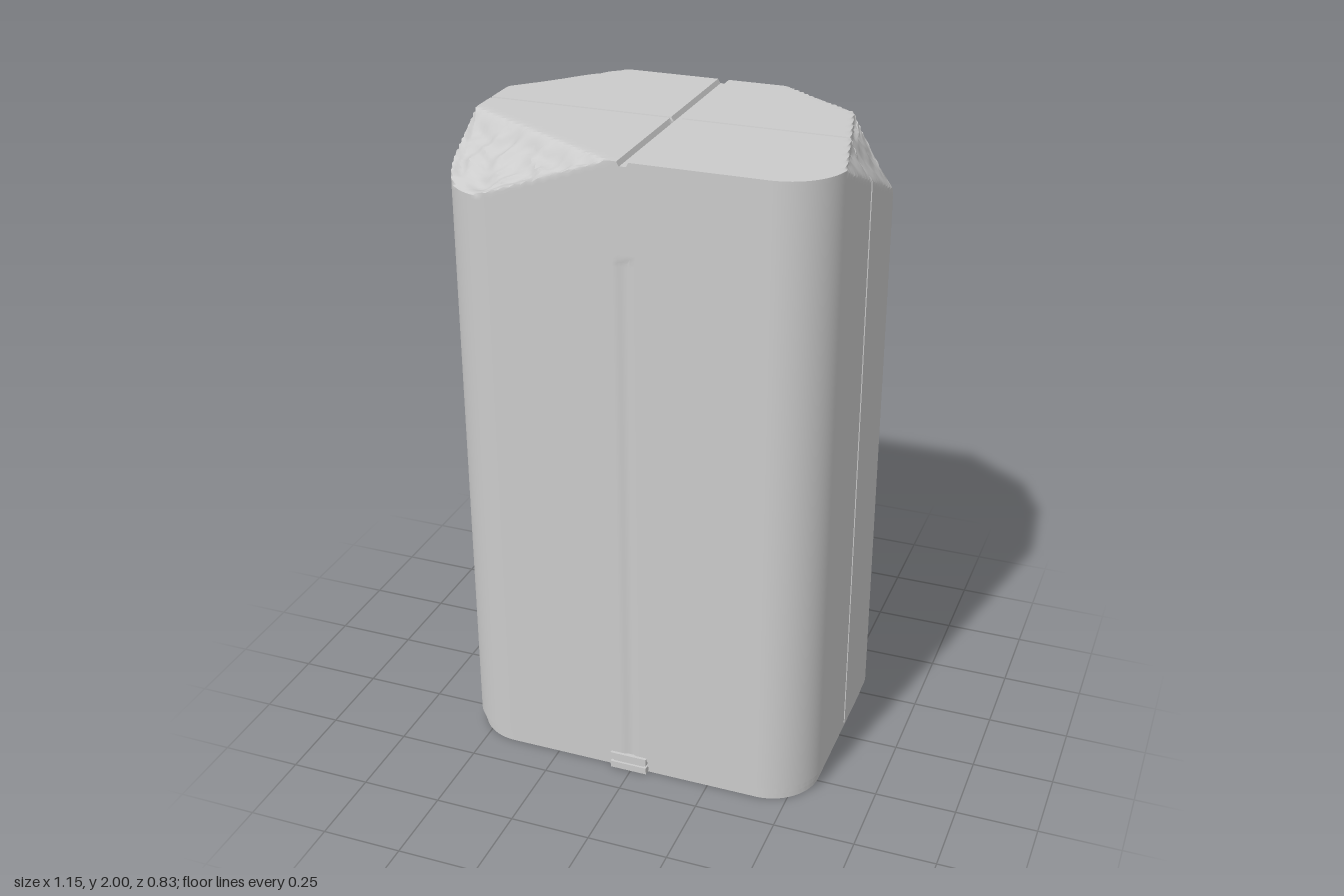
import * as THREE from 'three';
import { toCreasedNormals } from 'three/addons/utils/BufferGeometryUtils.js';

const HX = 0.576, HZ = 0.406, R = 0.17, BOTTOM = 0.053, TOP = 2;
const V = (x, y, z) => new THREE.Vector3(x, y, z);

// Evenly spaced grid lines between a and b, excluding b
const span = (a, b, n) => Array.from({ length: n }, (_, i) => a + (b - a) * i / n);

// Symmetric grid lines with a narrow seam in the middle
function seamLines(half, seam, n) {
  const side = [seam * 0.6, ...span(seam, half - R, n), ...span(half - R, half, 12), half];
  return [...side.map(v => -v).reverse(), ...side];
}

// Square corner region bent to a quarter disc
function roundCorner(p) {
  const ix = HX - R, iz = HZ - R;
  const u = (Math.abs(p.x) - ix) / R, v = (Math.abs(p.z) - iz) / R;
  if (u <= 0 || v <= 0) return;
  p.x = Math.sign(p.x) * (ix + R * u * Math.sqrt(1 - v * v / 2));
  p.z = Math.sign(p.z) * (iz + R * v * Math.sqrt(1 - u * u / 2));
}

// Broken stone relief, 0 to 1
function rough(p) {
  const a = Math.sin(p.x * 23 + p.y * 17 + Math.sin(p.z * 21) * 1.4);
  const b = Math.sin(p.z * 37 - p.y * 29 + Math.sin(p.x * 31) * 1.6);
  const c = Math.sin(p.x * 61 + p.z * 53 + p.y * 47);
  return Math.min(1, Math.abs(a) * 0.5 + Math.abs(b) * 0.35 + (c + 1) * 0.075);
}

// A break plane through three points, facing away from the core
function chip(a, b, c, amp) {
  const plane = new THREE.Plane().setFromCoplanarPoints(a, b, c);
  if (plane.distanceToPoint(V(0, 1, 0)) > 0) plane.negate();
  return { plane, amp };
}

const chips = [
  // front, right-hand corner: shallow slope
  chip(V(-0.05, 2, 0.405), V(-0.58, 2, 0.1), V(-0.53, 1.85, 0.36), 0.022),
  // back, left-hand corner: deep break
  chip(V(0.2, 2, -0.41), V(0.5, 2, -0.2), V(0.53, 1.62, -0.36), 0.035),
  // left top edge
  chip(V(0.44, 2, -0.3), V(0.57, 2, 0.25), V(0.577, 1.8, -0.2), 0.014),
  // back, right-hand corner: soft bevel over a steep break
  chip(V(-0.31, 2, -0.41), V(-0.575, 2, -0.12), V(-0.53, 1.89, -0.37), 0.008),
  chip(V(-0.38, 1.95, -0.41), V(-0.57, 1.95, -0.24), V(-0.53, 1.6, -0.36), 0.03),
];

function blockGeometry() {
  const xs = seamLines(HX, 0.017, 22), zs = seamLines(HZ, 0.006, 14);
  const ys = [...span(BOTTOM, 1.5, 8), ...span(1.5, TOP, 40), TOP];
  const nx = xs.length - 1, ny = ys.length - 1, nz = zs.length - 1;
  const geo = new THREE.BoxGeometry(1, 1, 1, nx, ny, nz);
  const pos = geo.attributes.position, p = V(0, 0, 0);
  for (let i = 0; i < pos.count; i++) {
    p.fromBufferAttribute(pos, i).addScalar(0.5);
    p.set(xs[Math.round(p.x * nx)], ys[Math.round(p.y * ny)], zs[Math.round(p.z * nz)]);
    const { x, y, z } = p;
    roundCorner(p);
    // seams cut into the top and down the four walls
    const inX = Math.abs(x) < 0.012, inZ = Math.abs(z) < 0.005;
    if (y === TOP) p.y -= inX ? 0.014 : inZ ? 0.009 : 0;
    if (inZ && Math.abs(x) === HX) p.x -= Math.sign(x) * 0.009;
    if (inX && z === HZ && y < 1.72) p.z -= 0.004;
    if (inX && z === -HZ && y < 1.6) p.z += 0.009;
    // broken corners
    for (const { plane, amp } of chips) {
      const d = plane.distanceToPoint(p);
      if (d <= 0) continue;
      const relief = amp * rough(p) * Math.min(1, d / 0.04);
      p.addScaledVector(plane.normal, -d - relief);
    }
    pos.setXYZ(i, p.x, p.y, p.z);
  }
  return toCreasedNormals(geo, 0.6);
}

function roundedRect(hx, hz, r) {
  const s = new THREE.Shape();
  s.absarc(hx - r, hz - r, r, 0, Math.PI / 2);
  s.absarc(-hx + r, hz - r, r, Math.PI / 2, Math.PI);
  s.absarc(-hx + r, -hz + r, r, Math.PI, Math.PI * 1.5);
  s.absarc(hx - r, -hz + r, r, Math.PI * 1.5, Math.PI * 2);
  return s;
}

export function createModel() {
  const group = new THREE.Group();
  const material = new THREE.MeshStandardMaterial({ color: 0xcccccc });
  const add = (name, geometry) => {
    const mesh = new THREE.Mesh(geometry, material);
    mesh.name = name;
    group.add(mesh);
    return mesh;
  };

  add('stoneBlock', blockGeometry());

  // Base plate, slightly inset with a narrower foot
  [['basePlate', 0.028, 0.03, 0.008], ['baseFoot', 0.005, 0.025, 0.014]].forEach(([name, y, h, inset]) => {
    const geo = new THREE.ExtrudeGeometry(roundedRect(HX - inset, HZ - inset, R - inset),
      { depth: h, bevelEnabled: false, curveSegments: 16 });
    geo.rotateX(-Math.PI / 2);
    add(name, toCreasedNormals(geo, 0.6)).position.y = y;
  });

  // Paired clip bars at the middle of the front and back
  for (const side of [1, -1]) {
    for (const [y, h] of [[0.021, 0.022], [0.053, 0.024]]) {
      const bar = add(side > 0 ? 'frontClip' : 'backClip', new THREE.BoxGeometry(0.118, h, 0.03));
      bar.position.set(-0.005, y, side * 0.4);
    }
    const web = add(side > 0 ? 'frontClipWeb' : 'backClipWeb', new THREE.BoxGeometry(0.1, 0.04, 0.02));
    web.position.set(-0.005, 0.035, side * 0.398);
  }
  return group;
}
